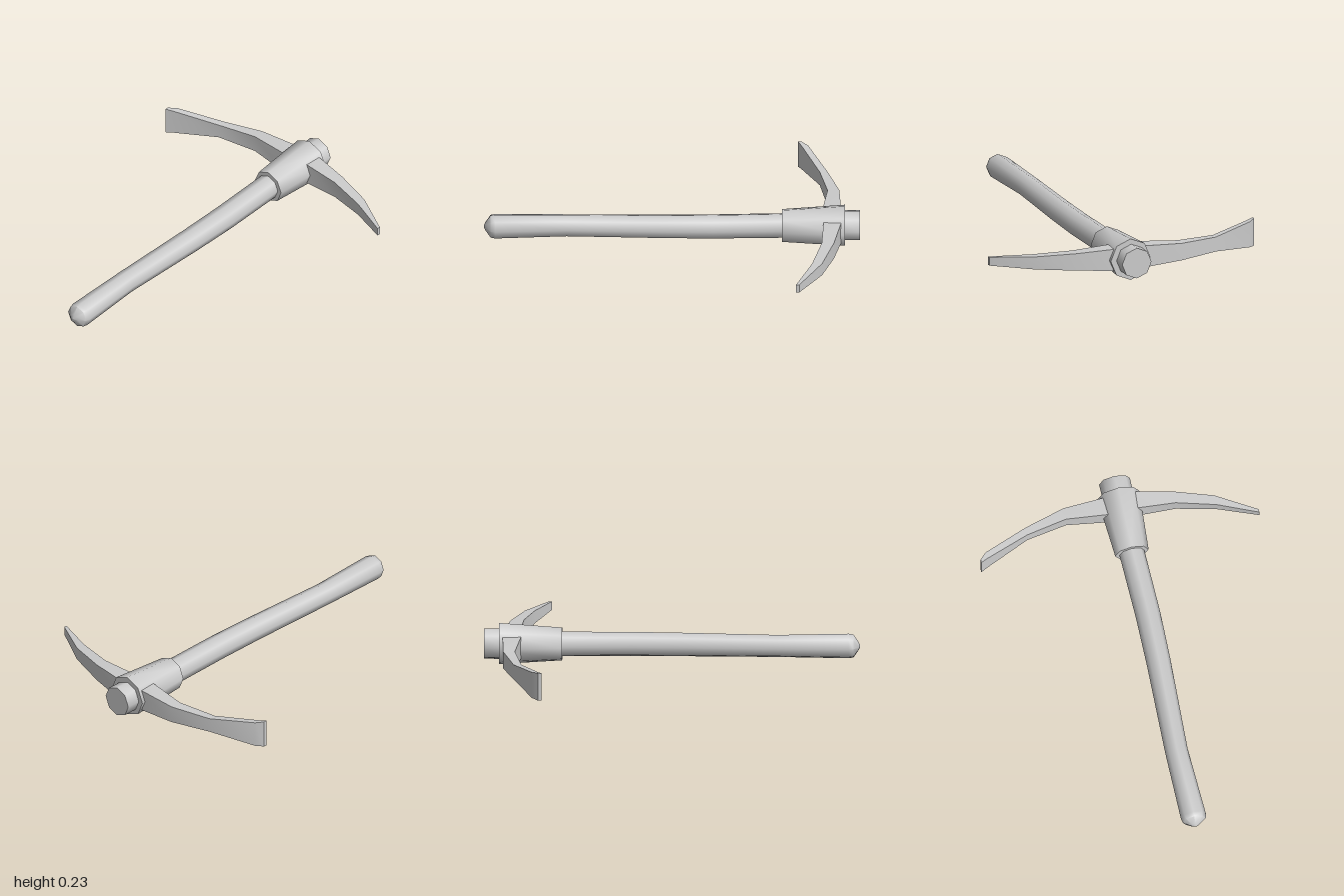
import * as THREE from 'three';
import { toCreasedNormals } from 'three/addons/utils/BufferGeometryUtils.js';

const CX = 0.045, CY = 0.117;

// Skin a list of equal-sized rings (counter-clockwise about the travel axis) and cap both ends.
function loft(rings, crease) {
  const n = rings[0].length, last = (rings.length - 1) * n, index = [];
  for (let i = 0; i < rings.length - 1; i++) {
    for (let j = 0; j < n; j++) {
      const a = i * n + j, b = i * n + (j + 1) % n;
      index.push(a, b, b + n, a, b + n, a + n);
    }
  }
  for (let j = 1; j < n - 1; j++) {
    index.push(0, j + 1, j, last, last + j, last + j + 1);
  }
  const geometry = new THREE.BufferGeometry();
  geometry.setAttribute('position', new THREE.Float32BufferAttribute(rings.flat(2), 3));
  geometry.setIndex(index);
  return toCreasedNormals(geometry, crease);
}

// Octagonal ring facing along z, with a corner at the top.
function octagon(z, x, r) {
  return Array.from({ length: 8 }, (_, i) => {
    const a = i * Math.PI / 4;
    return [x + r * Math.cos(a), CY + r * Math.sin(a), z];
  });
}

// Rectangular blade section at x, between a back and a front depth.
function section([x, back, front, h]) {
  return [[x, CY - h, back], [x, CY + h, back], [x, CY + h, front], [x, CY - h, front]];
}

export function createModel() {
  const group = new THREE.Group();
  const material = new THREE.MeshStandardMaterial({ color: 0xcccccc });
  const add = (name, geometry) => {
    const mesh = new THREE.Mesh(geometry, material);
    mesh.name = name;
    group.add(mesh);
  };

  // Gently curved handle, thick where it passes through the head: z, centre x, radius
  const handle = [
    [-1, 0.042, 0.084], [-0.9, 0.042, 0.084], [-0.59, 0.045, 0.068], [-0.22, 0.053, 0.067],
    [0.05, 0.05, 0.065], [0.56, 0.034, 0.061], [0.94, 0.042, 0.068],
    [0.965, 0.042, 0.063], [0.99, 0.042, 0.026], [1, 0.042, 0.006],
  ];
  add('handle', loft(handle.map(s => octagon(...s)), 0.9));

  // Tapered socket that holds the head on the handle
  add('socket', loft([octagon(-0.92, CX, 0.114), octagon(-0.585, CX, 0.091)], 0.9));

  // Adze on the right, pick on the left: x, back z, front z, half height
  const blade = [
    [-0.755, -0.695, -0.677, 0.076], [-0.72, -0.73, -0.694, 0.071], [-0.48, -0.832, -0.79, 0.04],
    [-0.26, -0.893, -0.83, 0.047], [-0.04, -0.9, -0.803, 0.06], [0.13, -0.9, -0.805, 0.06],
    [0.33, -0.86, -0.795, 0.047], [0.54, -0.795, -0.742, 0.035], [0.755, -0.672, -0.655, 0.023],
  ];
  add('pickHead', loft(blade.map(section), 0.6));

  return group;
}
